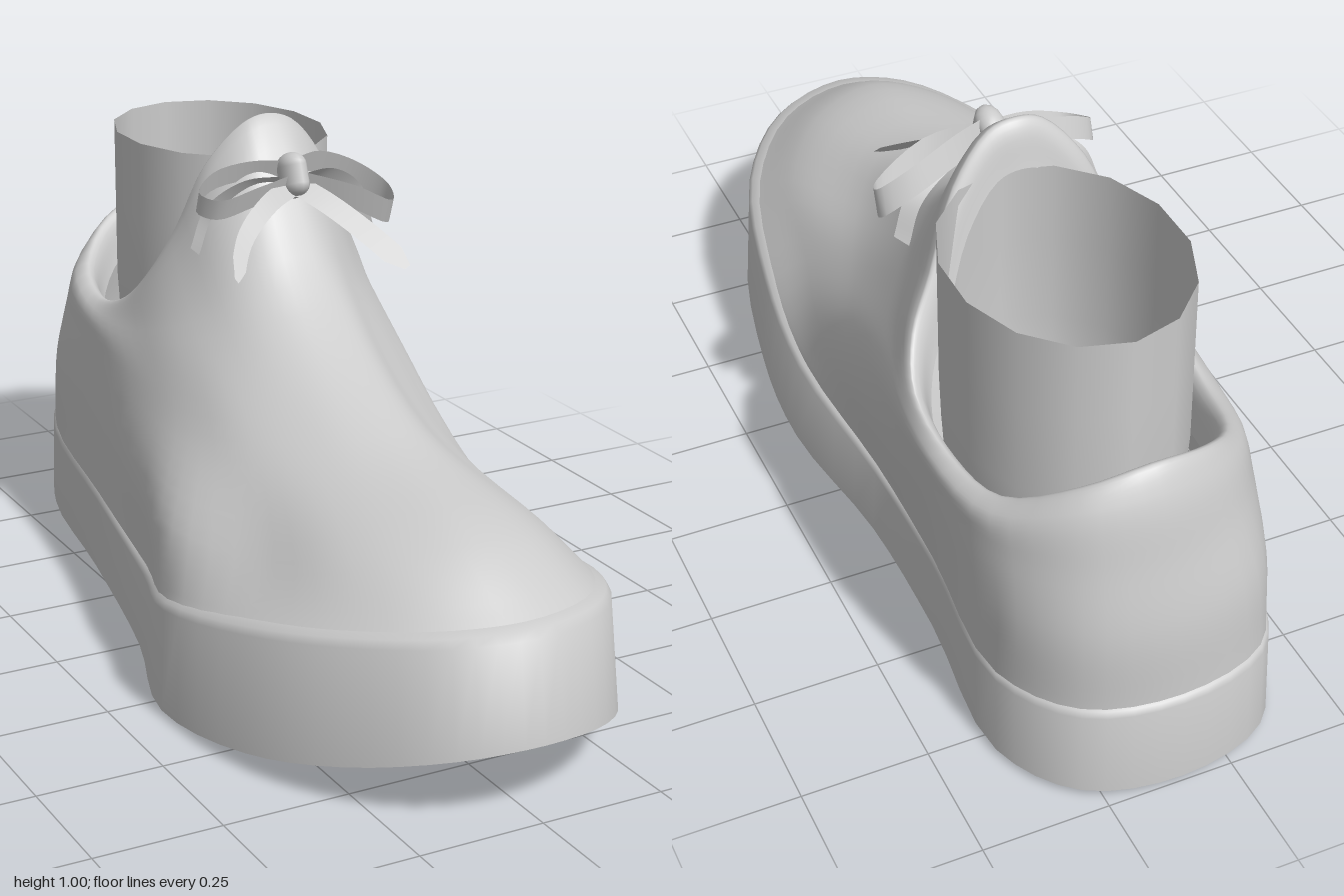
import * as THREE from 'three';
import { toCreasedNormals } from 'three/addons/utils/BufferGeometryUtils.js';

const material = new THREE.MeshStandardMaterial({ color: 0xcccccc, side: THREE.DoubleSide });
const V = (p) => new THREE.Vector3(...p);

// Cross-section loops run from the toe round the +x side, heel and -x side.
const outline = [[0, 1], [.17, .94], [.31, .76], [.385, .46], [.405, .2], [.365, -.14], [.365, -.45], [.385, -.8], [.285, -.955],
  [.1, -1], [-.09, -.945], [-.175, -.78], [-.24, -.4], [-.32, 0], [-.41, .3], [-.375, .58], [-.285, .79], [-.15, .95]];
const toeCap = [[-.01, .445, .77], [.14, .425, .72], [.25, .375, .58], [.305, .33, .36], [.36, .31, .13], [.375, .31, -.16],
  [.385, .33, -.48], [.38, .35, -.8], [.28, .36, -.94], [.11, .36, -.977], [-.078, .36, -.92], [-.168, .35, -.76],
  [-.215, .33, -.42], [-.28, .32, -.08], [-.335, .33, .2], [-.28, .345, .45], [-.215, .395, .62], [-.12, .43, .72]];
const vamp = [[.03, .52, .4], [.11, .51, .37], [.19, .47, .28], [.27, .45, .14], [.345, .45, -.02], [.39, .46, -.25],
  [.405, .47, -.5], [.38, .48, -.78], [.273, .5, -.917], [.12, .5, -.952], [-.045, .5, -.895], [-.145, .48, -.76],
  [-.195, .46, -.46], [-.22, .46, -.18], [-.225, .46, .05], [-.19, .48, .2], [-.125, .5, .31], [-.05, .515, .38]];
const instep = [[.08, .705, 0], [.14, .695, -.01], [.205, .665, -.06], [.28, .63, -.14], [.35, .6, -.25], [.4, .57, -.38],
  [.407, .535, -.55], [.377, .55, -.76], [.268, .61, -.89], [.125, .63, -.925], [-.015, .61, -.875], [-.125, .56, -.755],
  [-.17, .53, -.55], [-.175, .55, -.35], [-.16, .59, -.2], [-.12, .63, -.1], [-.06, .675, -.03], [.01, .7, 0]];
const collar = [[.1, 1, -.25], [.155, .985, -.25], [.235, .9, -.275], [.305, .76, -.325], [.36, .67, -.37], [.39, .6, -.45],
  [.38, .555, -.58], [.35, .57, -.74], [.25, .65, -.86], [.13, .685, -.89], [0, .65, -.85], [-.1, .58, -.74],
  [-.135, .55, -.58], [-.14, .59, -.44], [-.12, .67, -.355], [-.08, .77, -.31], [-.03, .9, -.275], [.045, .985, -.25]];

// Skin a list of loops; steps > 1 also smooths the surface between them.
function loft(rings, steps = 1, around = 72) {
  let rows = rings.map((ring) => {
    const curve = new THREE.CatmullRomCurve3(ring.map(V), true);
    return Array.from({ length: around }, (_, j) => curve.getPoint(j / around));
  });
  if (steps > 1) {
    const columns = rows[0].map((_, j) => new THREE.CatmullRomCurve3(rows.map((row) => row[j])));
    const count = (rows.length - 1) * steps;
    rows = Array.from({ length: count + 1 }, (_, i) => columns.map((c) => c.getPoint(i / count)));
  }
  const index = [];
  for (let i = 0; i < rows.length - 1; i++) {
    for (let j = 0; j < around; j++) {
      const a = i * around + j, b = i * around + (j + 1) % around;
      index.push(a, b, b + around, a, b + around, a + around);
    }
  }
  const geometry = new THREE.BufferGeometry().setFromPoints(rows.flat());
  geometry.setIndex(index);
  geometry.computeVertexNormals();
  return geometry;
}

// Heights of the sole along its length: toe spring below, raised toe rim above.
const soleBottom = (z) => .15 * Math.max(0, (z - .1) / .9) ** 2.4 + .012 * Math.max(0, -z);
const soleTop = (z) => .15 + .2 * Math.max(0, (z + .1) / 1.1) ** 1.1 + .05 * Math.max(0, -z);

// Copy of the outline drawn inward, less so towards the heel.
function soleRing(scale, height, lift = 0) {
  return outline.map(([x, z]) => {
    const s = z > 0 ? scale : 1 - (1 - scale) * (1 - .7 * Math.min(1, -z * 2));
    return [x * s, height(z) + lift, z * s];
  });
}

// Collar loop drawn in towards the ankle opening.
const liningRing = (scale, drop) => collar.map(([x, y, z]) =>
  [.125 + (x - .125) * scale, y - drop, -.56 + (z + .56) * scale]);

// Flat strip along a curve, tapering at the far end if asked.
function ribbon(points, across, width, tip = 1) {
  const curve = new THREE.CatmullRomCurve3(points.map(V));
  const side = V(across).normalize();
  const n = 24, strip = [], index = [];
  for (let i = 0; i <= n; i++) {
    const p = curve.getPoint(i / n);
    const w = width / 2 * (i > n - 3 ? tip + (1 - tip) * (n - i) / 3 : 1);
    strip.push(p.clone().addScaledVector(side, w), p.clone().addScaledVector(side, -w));
    if (i < n) index.push(2 * i, 2 * i + 1, 2 * i + 2, 2 * i + 1, 2 * i + 3, 2 * i + 2);
  }
  const geometry = new THREE.BufferGeometry().setFromPoints(strip);
  geometry.setIndex(index);
  geometry.computeVertexNormals();
  return geometry;
}

export function createModel() {
  const shoe = new THREE.Group();
  shoe.name = 'shoe';
  const add = (name, geometry, parent = shoe) => {
    const mesh = new THREE.Mesh(geometry, material);
    mesh.name = name;
    parent.add(mesh);
    return mesh;
  };

  // Sole: underside, wall and rounded rim
  const bottom = [.01, .35, .7, .9, 1].map((s) =>
    outline.map(([x, z]) => [x * s, soleBottom(z * s), z * s]));
  const sole = loft([...bottom, soleRing(.97, soleTop, -.01), soleRing(.955, soleTop, .003), soleRing(.92, soleTop, .008)]);
  add('sole', toCreasedNormals(sole, 1.1));

  // Upper: from the rim over the vamp to the collar and a short lining
  add('upper', loft([soleRing(.94, soleTop), toeCap, vamp, instep, collar,
    liningRing(.94, .015), liningRing(.87, .09)], 6));

  // Sock: open tube with a rounded footbed inside
  const sockProfile = [[0, .16], [.5, .18], [.82, .26], [.96, .4], [1, .56], [1, .74], [1, .905]]
    .map(([r, y]) => new THREE.Vector2(r, y));
  const sock = add('sock', new THREE.LatheGeometry(sockProfile, 14));
  sock.scale.set(.22, 1, .277);
  sock.position.set(.137, 0, -.547);

  // Lace bow: knot, two loops and two loose ends
  const bow = new THREE.Group();
  bow.name = 'laceBow';
  shoe.add(bow);
  const knot = add('knot', new THREE.CapsuleGeometry(.028, .038, 6, 12), bow);
  knot.position.set(.098, .897, -.13);
  knot.rotation.x = -.35;
  knot.scale.z = 1.5;
  const up = [0, 1, .35];
  add('leftLoop', ribbon([[.1, .905, -.14], [.18, .905, -.175], [.28, .865, -.19], [.335, .82, -.165],
    [.315, .8, -.11], [.21, .85, -.085], [.1, .885, -.12]], up, .055), bow);
  add('rightLoop', ribbon([[.1, .905, -.14], [.02, .905, -.175], [-.06, .89, -.18], [-.105, .86, -.155],
    [-.08, .85, -.11], [0, .87, -.1], [.1, .885, -.12]], up, .045), bow);
  add('leftEnd', ribbon([[.1, .88, -.12], [.14, .85, -.06], [.19, .8, .02], [.235, .745, .1]], [1, .5, -.2], .05, .3), bow);
  add('rightEnd', ribbon([[.1, .88, -.12], [.02, .86, -.08], [-.06, .81, -.03], [-.11, .745, .03]], [.5, -.8, .5], .04, .3), bow);

  // Lace strands running from the knot down both sides of the instep
  add('leftStrand', ribbon([[.1, .885, -.14], [.2, .88, -.17], [.275, .83, -.19], [.305, .745, -.195]], [.6, .5, .3], .035), bow);
  add('rightStrand', ribbon([[.1, .885, -.14], [.01, .88, -.16], [-.065, .83, -.18], [-.1, .75, -.18]], [-.6, .5, .3], .035), bow);
  return shoe;
}
